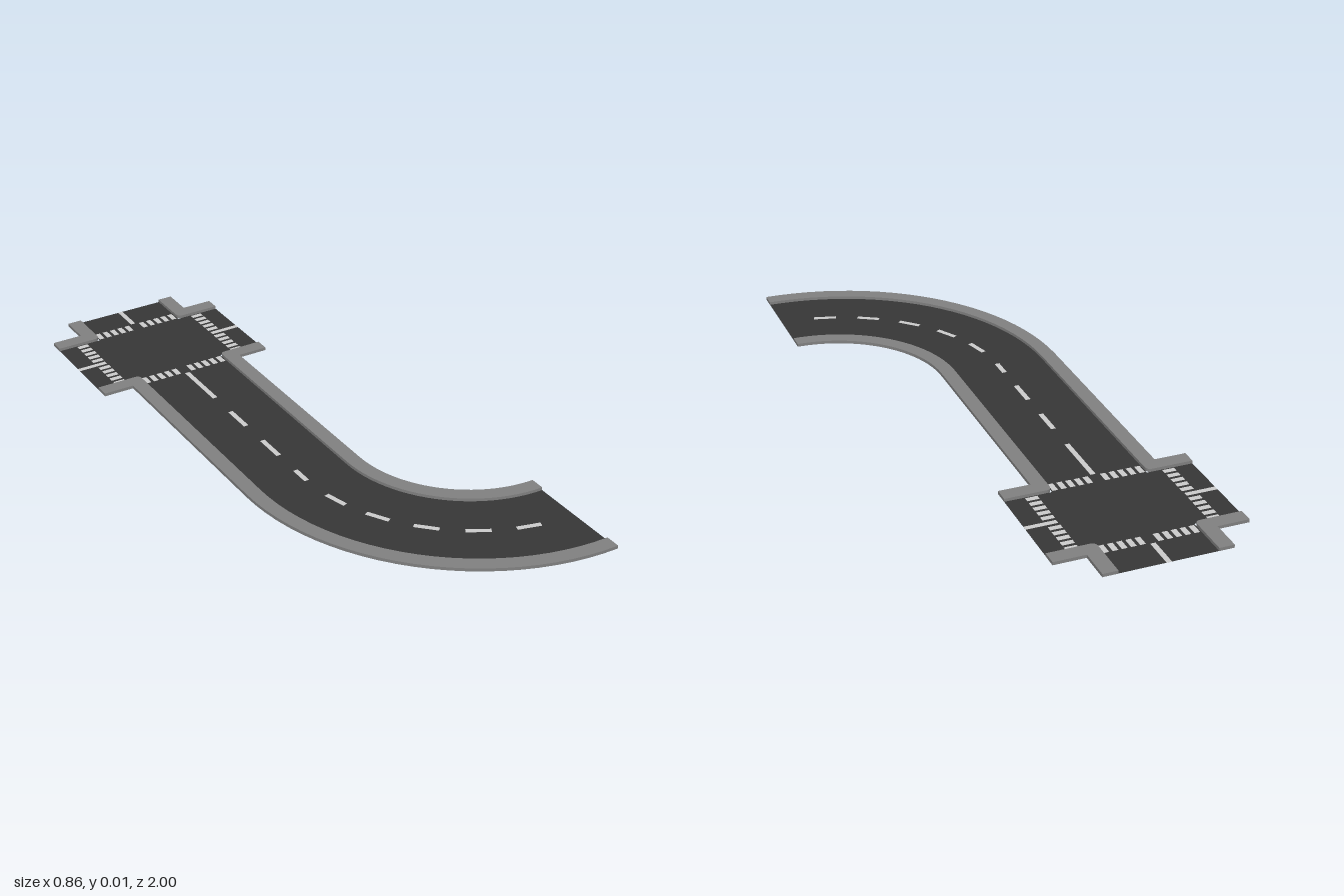
import * as THREE from 'three';
import { mergeGeometries } from 'three/addons/utils/BufferGeometryUtils.js';

const ROAD_X = -0.135;           // centre line of the straight road
const CROSS_Z = -0.703;          // centre of the crossing
const TILE = 0.297;              // half size of the crossing
const HALF = 0.15, EDGE = 0.197; // half widths of asphalt and of road with sidewalks
const BEND_X = 0.432, BEND_Z = 0.236, R = BEND_X - ROAD_X; // bend centre and radius
const CURB = 0.01, SURFACE = 0.0005, PAINT = 0.001;
const SEGMENTS = 24;

const material = (color, side = THREE.FrontSide) => new THREE.MeshStandardMaterial({ color, side });

// Points of a quarter bend, starting at the straight road
function bendPoints(radius) {
  return Array.from({ length: SEGMENTS + 1 }, (_, i) => {
    const a = (i / SEGMENTS) * Math.PI / 2;
    return new THREE.Vector2(BEND_X - radius * Math.cos(a), BEND_Z + radius * Math.sin(a));
  });
}

// Slab from a plan drawn in x and z, standing on the ground
function slab(shape) {
  return new THREE.ExtrudeGeometry(shape, { depth: CURB, bevelEnabled: false, curveSegments: 5 })
    .rotateX(Math.PI / 2).translate(0, CURB, 0);
}

// Painted bar lying on the road, its length along z before turning
function bar(x, z, width, length, turn = 0, bottom = 0) {
  return new THREE.BoxGeometry(width, PAINT - bottom, length)
    .rotateY(turn).translate(x, (PAINT + bottom) / 2, z);
}

export function createModel() {
  const model = new THREE.Group();
  const add = (name, geometry, mat) => {
    const mesh = new THREE.Mesh(geometry, mat);
    mesh.name = name;
    model.add(mesh);
  };
  const asphalt = material(0x363636, THREE.DoubleSide);
  const concrete = material(0x808080);
  const white = material(0xcccccc);
  const v = (x, z) => new THREE.Vector2(ROAD_X + x, CROSS_Z + z);

  // Asphalt: crossing arms, straight road and bend in one sheet
  const roadShape = new THREE.Shape([
    v(-HALF, -TILE), v(HALF, -TILE), v(HALF, -HALF), v(TILE, -HALF),
    v(TILE, HALF), v(HALF, HALF),
    ...bendPoints(R - HALF), ...bendPoints(R + HALF).reverse(),
    v(-HALF, HALF), v(-TILE, HALF), v(-TILE, -HALF), v(-HALF, -HALF),
  ]);
  add('roadSurface', new THREE.ShapeGeometry(roadShape)
    .rotateX(Math.PI / 2).translate(0, SURFACE, 0), asphalt);

  // Corner sidewalks of the crossing, with a rounded inner kerb
  const round = 0.018;
  for (const sx of [-1, 1]) {
    for (const sz of [-1, 1]) {
      const p = (x, z) => [ROAD_X + sx * x, CROSS_Z + sz * z];
      const s = new THREE.Shape();
      s.moveTo(...p(HALF, TILE));
      s.lineTo(...p(HALF, HALF + round));
      s.quadraticCurveTo(...p(HALF, HALF), ...p(HALF + round, HALF));
      s.lineTo(...p(TILE, HALF));
      s.lineTo(...p(TILE, EDGE));
      s.lineTo(...p(EDGE, EDGE));
      s.lineTo(...p(EDGE, TILE));
      s.closePath();
      add('cornerSidewalk', slab(s), concrete);
    }
  }

  // Sidewalks along the straight road and around the bend
  for (const [name, side] of [['rightSidewalk', -1], ['leftSidewalk', 1]]) {
    add(name, slab(new THREE.Shape([
      v(side * HALF, TILE),
      ...bendPoints(R - side * HALF),
      ...bendPoints(R - side * EDGE).reverse(),
      v(side * EDGE, TILE),
    ])), concrete);
  }

  // Centre lines: solid at the crossing, then dashes down the road and bend
  const lines = [
    bar(ROAD_X, -0.95, 0.016, 0.1),
    bar(ROAD_X, -0.41, 0.016, 0.19),
    bar(ROAD_X, -0.164, 0.016, 0.1),
    bar(ROAD_X, 0.037, 0.016, 0.1),
    bar(ROAD_X, 0.218, 0.016, 0.066),
  ];
  for (const s of [-1, 1]) lines.push(bar(ROAD_X + s * 0.248, CROSS_Z, 0.098, 0.016));
  for (let k = 1; k <= 5; k++) {
    const a = k * Math.PI / 12;
    lines.push(bar(BEND_X - R * Math.cos(a), BEND_Z + R * Math.sin(a), 0.016, 0.075, a));
  }
  add('centreLines', mergeGeometries(lines), white);

  // Zebra crossings on all four arms
  const stripes = [];
  for (const s of [-1, 1]) {
    for (let k = -5; k <= 5; k++) {
      if (k === 0) continue;
      const offset = k * 0.0275;
      stripes.push(
        bar(ROAD_X + offset, CROSS_Z + s * 0.174, 0.017, 0.038, 0, SURFACE),
        bar(ROAD_X + s * 0.216, CROSS_Z + offset, 0.038, 0.017, 0, SURFACE));
    }
  }
  add('zebraStripes', mergeGeometries(stripes), white);

  return model;
}
